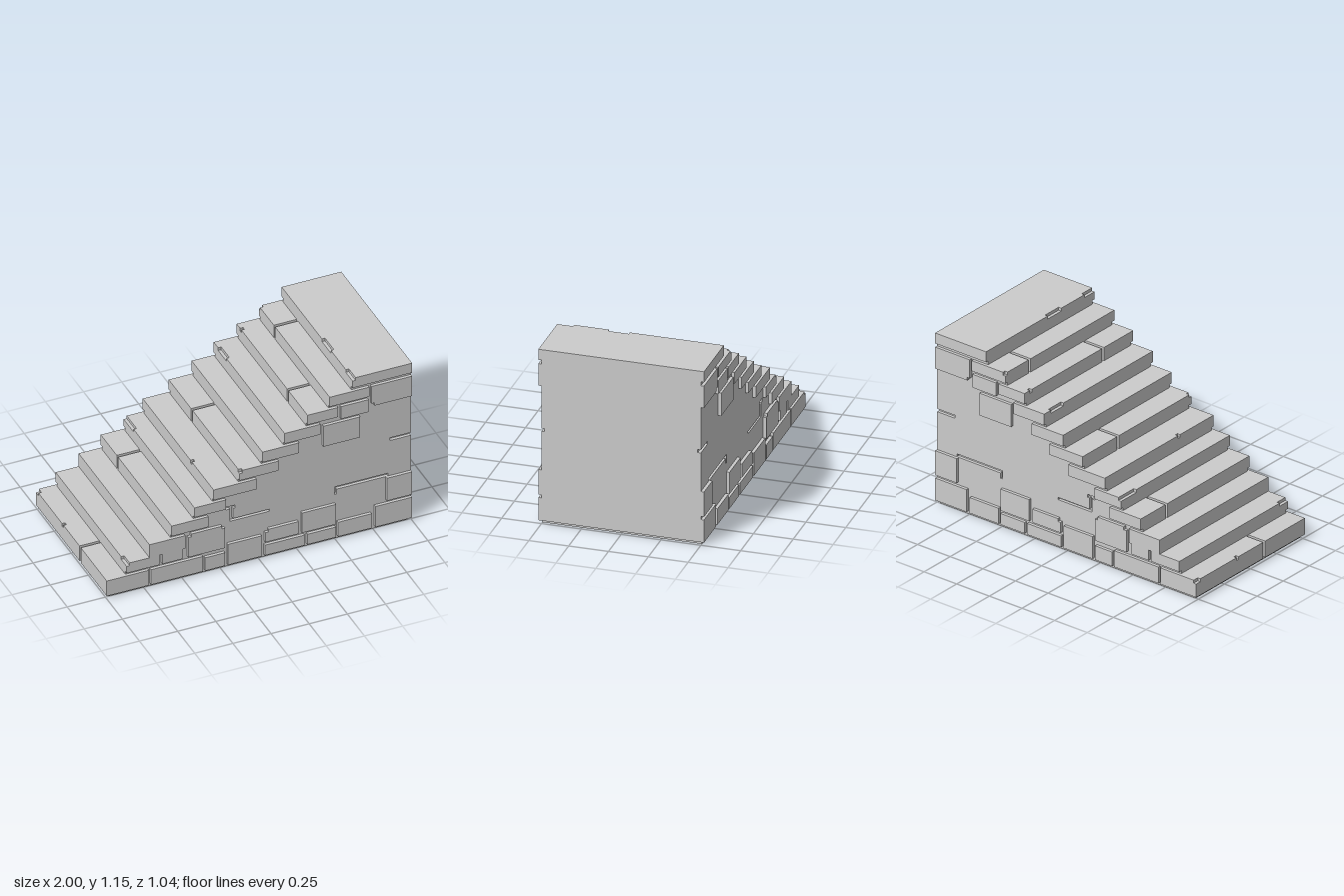
import * as THREE from 'three';

const material = new THREE.MeshStandardMaterial({ color: 0xcccccc, flatShading: true });
const HALF = 0.5;    // half width of the wall core
const OUTER = 0.52;  // half width including the raised bricks
const D = 0.02;      // depth of bricks, joints and chips

// Each step: front x, top y, end x and underside of its raised side brick
const STEPS = [
  [-1, 0.13, -0.725, 0.02], [-0.87, 0.22, -0.655, 0.15], [-0.72, 0.315, -0.485, 0.22],
  [-0.575, 0.41, -0.335, 0.335], [-0.425, 0.5, -0.22, 0.43], [-0.3, 0.595, -0.02, 0.52],
  [-0.13, 0.685, 0.125, 0.615], [0.02, 0.78, 0.26, 0.705], [0.165, 0.875, 0.4, 0.8],
  [0.315, 0.965, 0.515, 0.895], [0.46, 1.055, 0.72, 0.985], [0.61, 1.15, 1, 1.08],
];

// Joints and chipped edges across the steps: step index -> [z0, z1] ranges
const JOINTS = { 0: [0.12, 0.14], 3: [-0.285, -0.265], 6: [-0.19, -0.17], 9: [0.22, 0.24], 10: [-0.3, -0.28] };
const CHIPS = {
  0: [[-0.52, -0.48], [-0.135, -0.115]], 1: [[0.44, 0.52]], 4: [[-0.52, -0.375]],
  5: [[0.18, 0.2]], 6: [[0.5, 0.52]], 8: [[-0.455, -0.335]], 9: [[-0.47, -0.45]],
  10: [[-0.52, -0.5]], 11: [[0.07, 0.2], [0.42, 0.52]],
};

// Loose side bricks: x0, x1, y0, y1, bitten corners
const BRICKS = [
  [-0.71, -0.37, 0.02, 0.13], [-0.355, -0.225, 0.02, 0.115], [-0.205, 0.015, 0.02, 0.17],
  [0.035, 0.295, 0.02, 0.095], [0.315, 0.5, 0.02, 0.095], [0.515, 0.735, 0.02, 0.125],
  [0.76, 1, 0.02, 0.17], [-0.635, -0.505, 0.15, 0.22], [-0.465, -0.225, 0.15, 0.315, 'LR'],
  [0.04, 0.255, 0.115, 0.205, 'L'], [0.28, 0.5, 0.115, 0.26], [0.42, 0.66, 0.705, 0.855],
  [0.535, 0.715, 0.875, 0.965], [0.735, 1, 0.91, 1.055, 'B'], [0.835, 1, 0.19, 0.355],
];

// Grooves cut into both side walls
const CRACKS = [
  [[-0.185, 0.32], [0.075, 0.32], [0.075, 0.335], [-0.165, 0.335], [-0.165, 0.41],
    [-0.15, 0.41], [-0.15, 0.43], [-0.21, 0.43], [-0.21, 0.41], [-0.185, 0.41]],
  [[0.5, 0.32], [0.515, 0.32], [0.515, 0.355], [0.85, 0.355], [0.85, 0.375], [0.5, 0.375]],
];

const toPoints = (list) => list.map(([x, y]) => new THREE.Vector2(x, y));

// Extrudes an x-y outline from z0 to z1
function prism(name, outline, z0, z1, holes = []) {
  const shape = new THREE.Shape(toPoints(outline));
  holes.forEach((h) => shape.holes.push(new THREE.Path(toPoints(h))));
  const geometry = new THREE.ExtrudeGeometry(shape, { depth: z1 - z0, bevelEnabled: false });
  geometry.translate(0, 0, z0);
  const mesh = new THREE.Mesh(geometry, material);
  mesh.name = name;
  return mesh;
}

// Rectangle with optional square bites: L/R top corners, B bottom left corner
function block(x0, x1, y0, y1, bites = '') {
  return [
    ...(bites.includes('B') ? [[x0, y0 + D], [x0 + D, y0 + D], [x0 + D, y0]] : [[x0, y0]]),
    [x1, y0],
    ...(bites.includes('R') ? [[x1, y1 - D], [x1 - D, y1 - D], [x1 - D, y1]] : [[x1, y1]]),
    ...(bites.includes('L') ? [[x0 + D, y1], [x0 + D, y1 - D], [x0, y1 - D]] : [[x0, y1]]),
  ];
}

const inside = (z, range) => z > range[0] && z < range[1];

export function createModel() {
  const model = new THREE.Group();
  model.name = 'stoneStaircase';

  // Recessed stair profile beneath the tread stones
  const stairs = [];
  STEPS.forEach(([x, y], i) => {
    stairs.push([x + D, i ? STEPS[i - 1][1] - D : D], [x + D, y - D]);
  });
  const solid = [[1, D], ...stairs, [1, 1.13]];
  const walled = [...solid, [1, 0.63], [0.865, 0.63], [0.865, 0.61], [1, 0.61]];
  model.add(prism('core', solid, -HALF + D, HALF - D));
  model.add(prism('frontWall', walled, HALF - D, HALF, CRACKS));
  model.add(prism('backWall', walled, -HALF, -HALF + D, CRACKS));
  model.add(prism('basePlinth', block(-0.98, 0.98, 0, D), -HALF, HALF));

  // Tread stones, sliced along z wherever a joint or chip begins or ends
  STEPS.forEach(([x, y, brickEnd, brickBottom], i) => {
    const end = i < STEPS.length - 1 ? STEPS[i + 1][0] + D : 1;
    const bottom = i ? STEPS[i - 1][1] - D : D;
    const joint = JOINTS[i] || [9, 9];
    const chips = CHIPS[i] || [];
    const cuts = [-HALF, HALF, ...joint, ...chips.flat()]
      .filter((z) => Math.abs(z) <= HALF).sort((a, b) => a - b);
    for (let k = 0; k < cuts.length - 1; k++) {
      const [z0, z1] = [cuts[k], cuts[k + 1]];
      const mid = (z0 + z1) / 2;
      if (z1 - z0 < 1e-4 || inside(mid, joint)) continue;
      const bite = chips.some((c) => inside(mid, c)) ? 'L' : '';
      model.add(prism('tread', block(x, end, bottom, y, bite), z0, z1));
    }
    // Raised brick at each end of the tread
    for (const side of [-1, 1]) {
      const bite = chips.some((c) => inside(side * 0.51, c)) ? 'L' : '';
      const z0 = side > 0 ? HALF : -OUTER;
      model.add(prism('treadEndBrick', block(x, brickEnd, brickBottom, y, bite), z0, z0 + D));
    }
  });

  // Raised bricks scattered over both walls
  for (const z0 of [HALF, -OUTER]) {
    BRICKS.forEach((b) => model.add(prism('wallBrick', block(...b), z0, z0 + D)));
  }
  return model;
}
